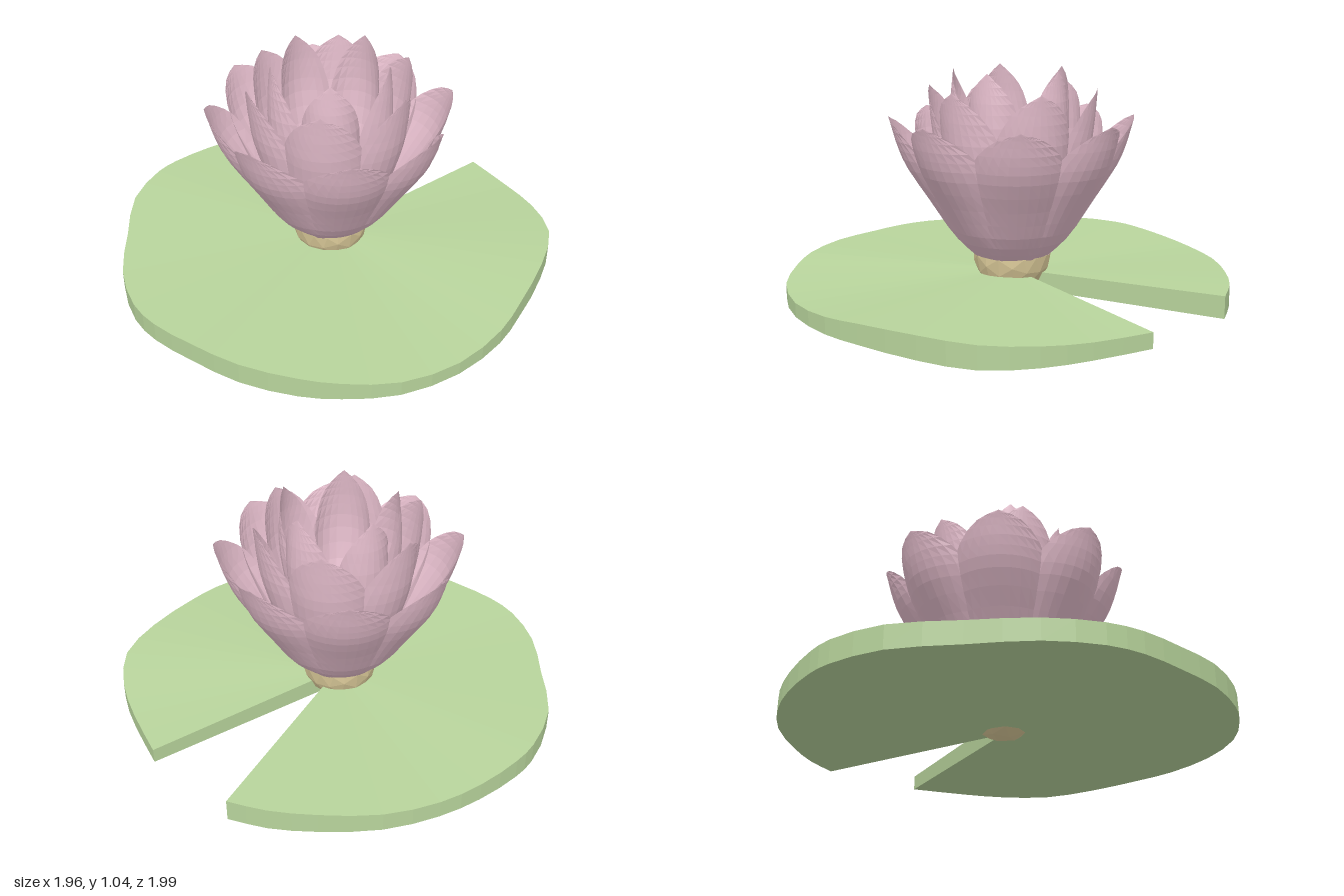
import * as THREE from 'three';

const mat = (name, color, extra = {}) => {
  const m = new THREE.MeshStandardMaterial({ color, flatShading: true, ...extra });
  m.name = name;
  return m;
};

function geometryFrom(positions) {
  const g = new THREE.BufferGeometry();
  g.setAttribute('position', new THREE.Float32BufferAttribute(positions, 3));
  g.computeVertexNormals();
  return g;
}

// Wavy, notched leaf: rim points are [x, z, top height], from one notch edge round to the other
function padGeometry() {
  const rim = [
    [0.98, -0.24, 0.13], [0.91, -0.4, 0.13], [0.79, -0.57, 0.125], [0.61, -0.76, 0.115],
    [0.4, -0.89, 0.11], [0.21, -0.96, 0.115], [0, -1, 0.125], [-0.13, -1, 0.13],
    [-0.37, -0.93, 0.13], [-0.6, -0.75, 0.125], [-0.81, -0.57, 0.12], [-0.94, -0.37, 0.12],
    [-0.98, -0.21, 0.122], [-0.98, 0, 0.125], [-0.96, 0.24, 0.13], [-0.88, 0.48, 0.128],
    [-0.79, 0.63, 0.115], [-0.63, 0.81, 0.1], [-0.39, 0.94, 0.093], [-0.13, 0.99, 0.105],
    [0.06, 0.98, 0.118], [0.35, 0.94, 0.13], [0.59, 0.86, 0.128], [0.75, 0.69, 0.115],
    [0.85, 0.5, 0.102], [0.95, 0.25, 0.098],
  ].map(([x, z, y]) => new THREE.Vector3(x, y, z));
  const loop = new THREE.CatmullRomCurve3(rim).getPoints(50);
  const centre = new THREE.Vector3(0.01, 0.115, 0.005);
  loop.unshift(centre);
  const pos = [];
  const low = (p) => new THREE.Vector3(p.x, 0.03, p.z);
  const tri = (...pts) => pts.forEach((p) => pos.push(p.x, p.y, p.z));
  loop.forEach((a, i) => {
    const b = loop[(i + 1) % loop.length];
    tri(low(a), low(b), b);
    tri(low(a), b, a);
    if (a !== centre && b !== centre) {
      tri(centre, a, b);
      tri(low(centre), low(b), low(a));
    }
  });
  return geometryFrom(pos);
}

// Cupped petal: spine points are [radius, height, half width]; cup is the cross-section radius
function petalGeometry(spine, cup, rows = 14, cols = 10) {
  const curve = new THREE.CatmullRomCurve3(spine.map((p) => new THREE.Vector3(...p)), false, 'catmullrom', 0.5);
  const at = (i, j) => {
    const p = curve.getPoint(i / rows);
    const a = ((2 * j / cols - 1) * Math.max(p.z, 0)) / cup;
    return [p.x - cup * (1 - Math.cos(a)), p.y, cup * Math.sin(a)];
  };
  const pos = [];
  for (let i = 0; i < rows; i++) {
    for (let j = 0; j < cols; j++) {
      const a = at(i, j), b = at(i, j + 1), c = at(i + 1, j + 1), d = at(i + 1, j);
      pos.push(...a, ...c, ...b);
      if (i < rows - 1) pos.push(...a, ...d, ...c);
    }
  }
  return geometryFrom(pos);
}

export function createModel() {
  const model = new THREE.Group();
  model.name = 'waterLily';
  const green = mat('leafGreen', 0xb8d49c);
  const pink = mat('petalPink', 0xe3bccb, { side: THREE.DoubleSide });
  const cream = mat('heartCream', 0xdccb9a);

  const add = (name, geometry, material, parent = model) => {
    const mesh = new THREE.Mesh(geometry, material);
    mesh.name = name;
    parent.add(mesh);
    return mesh;
  };

  add('lilyPad', padGeometry(), green);

  // Egg-shaped flower heart, running through the pad
  const heart = add('flowerHeart', new THREE.IcosahedronGeometry(1, 2), cream);
  heart.scale.set(0.18, 0.2, 0.18);
  heart.position.y = 0.2;

  // Three nested rings of petals
  const rings = [
    { name: 'outerPetal', count: 8, start: 0, cup: 0.24, spine: [
      [0.165, 0.19, 0.08], [0.27, 0.29, 0.14], [0.37, 0.44, 0.2], [0.475, 0.6, 0.235],
      [0.518, 0.7, 0.21], [0.543, 0.79, 0.11], [0.555, 0.83, 0]] },
    { name: 'middlePetal', count: 6, start: Math.PI / 6, cup: 0.2, spine: [
      [0.13, 0.22, 0.07], [0.22, 0.34, 0.14], [0.3, 0.5, 0.2], [0.355, 0.68, 0.22],
      [0.372, 0.8, 0.175], [0.38, 0.9, 0.1], [0.385, 0.96, 0]] },
    { name: 'innerPetal', count: 5, start: 0, cup: 0.13, spine: [
      [0.08, 0.3, 0.06], [0.17, 0.4, 0.12], [0.245, 0.56, 0.17], [0.28, 0.74, 0.18],
      [0.28, 0.88, 0.135], [0.272, 0.97, 0.075], [0.265, 1.04, 0]] },
  ];
  for (const { name, count, start, cup, spine } of rings) {
    const ring = new THREE.Group();
    ring.name = name + 'Ring';
    const geometry = petalGeometry(spine, cup);
    for (let i = 0; i < count; i++) {
      add(name, geometry, pink, ring).rotation.y = start + (i * 2 * Math.PI) / count;
    }
    model.add(ring);
  }
  return model;
}
